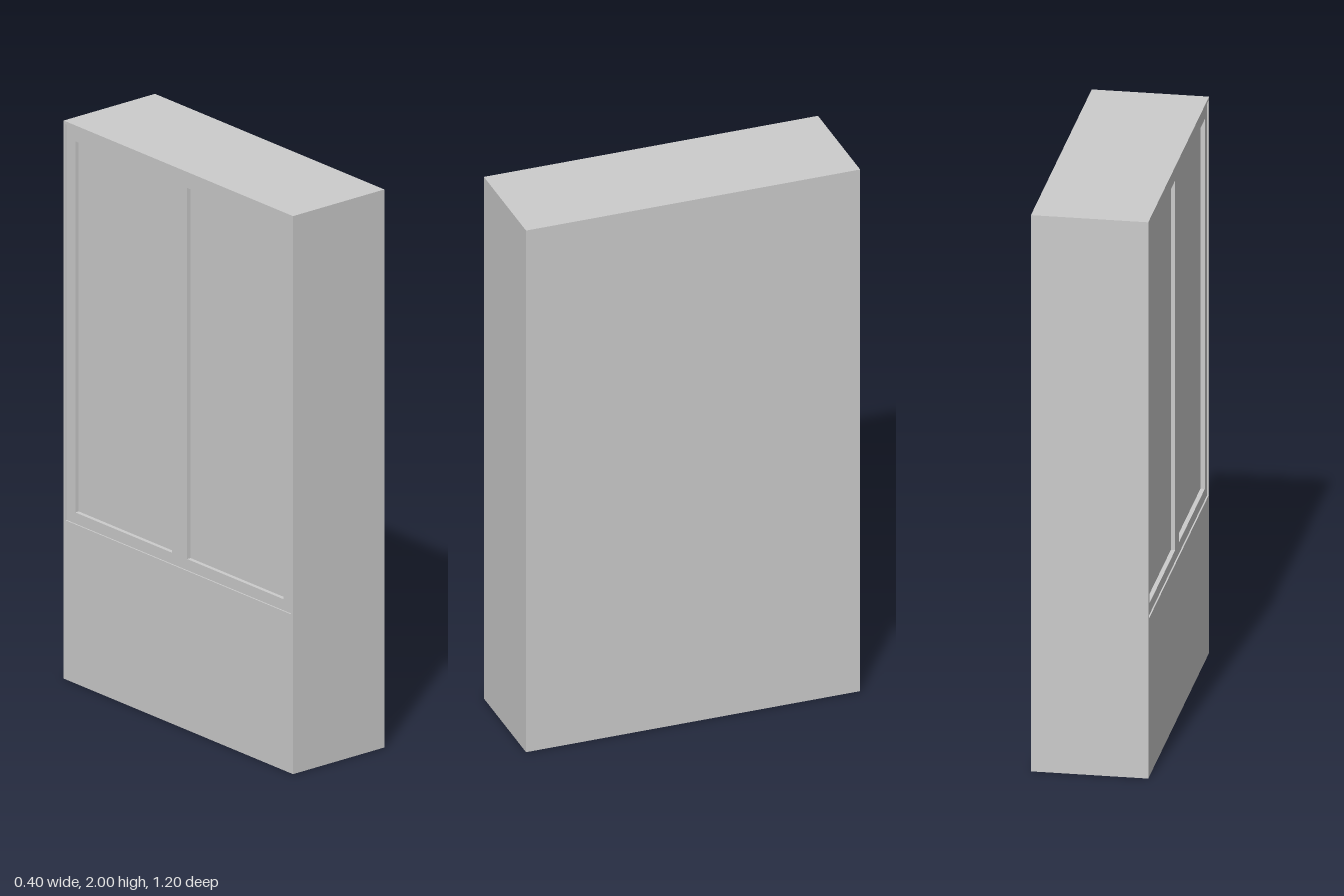
import * as THREE from 'three';

const material = new THREE.MeshStandardMaterial({ color: 0xcccccc, flatShading: true });

// Closed rectangle as a list of points (z along the width, y up)
const rect = (z0, y0, z1, y1) =>
  [[z0, y0], [z1, y0], [z1, y1], [z0, y1]].map(([z, y]) => new THREE.Vector2(z, y));

// Rectangular frame facing -x, standing from x = base outwards by depth
function frame(name, outer, inner, base, depth) {
  const shape = new THREE.Shape(rect(...outer));
  shape.holes.push(new THREE.Path(rect(...inner).reverse()));
  const geometry = new THREE.ExtrudeGeometry(shape, { depth, bevelEnabled: false });
  geometry.rotateY(-Math.PI / 2).translate(base, 0, 0);
  const mesh = new THREE.Mesh(geometry, material);
  mesh.name = name;
  return mesh;
}

export function createModel() {
  const model = new THREE.Group();
  model.name = 'cabinet';
  const base = -0.18; // plane of the sunken door panels

  // Main body
  const body = new THREE.Mesh(new THREE.BoxGeometry(0.38, 2, 1.2), material);
  body.name = 'body';
  body.position.set(0.01, 1, 0);
  model.add(body);

  // Casing around the doors, with the plain lower panel
  model.add(frame('casing', [-0.6, 0, 0.6, 2], [-0.59, 0.57, 0.59, 1.99], base, 0.02));

  // Pair of doors, set slightly back, each with a sunken panel
  model.add(frame('rightDoor', [-0.59, 0.57, 0, 1.99], [-0.545, 0.61, -0.04, 1.94], base, 0.015));
  model.add(frame('leftDoor', [0, 0.57, 0.59, 1.99], [0.04, 0.61, 0.545, 1.94], base, 0.015));

  return model;
}
